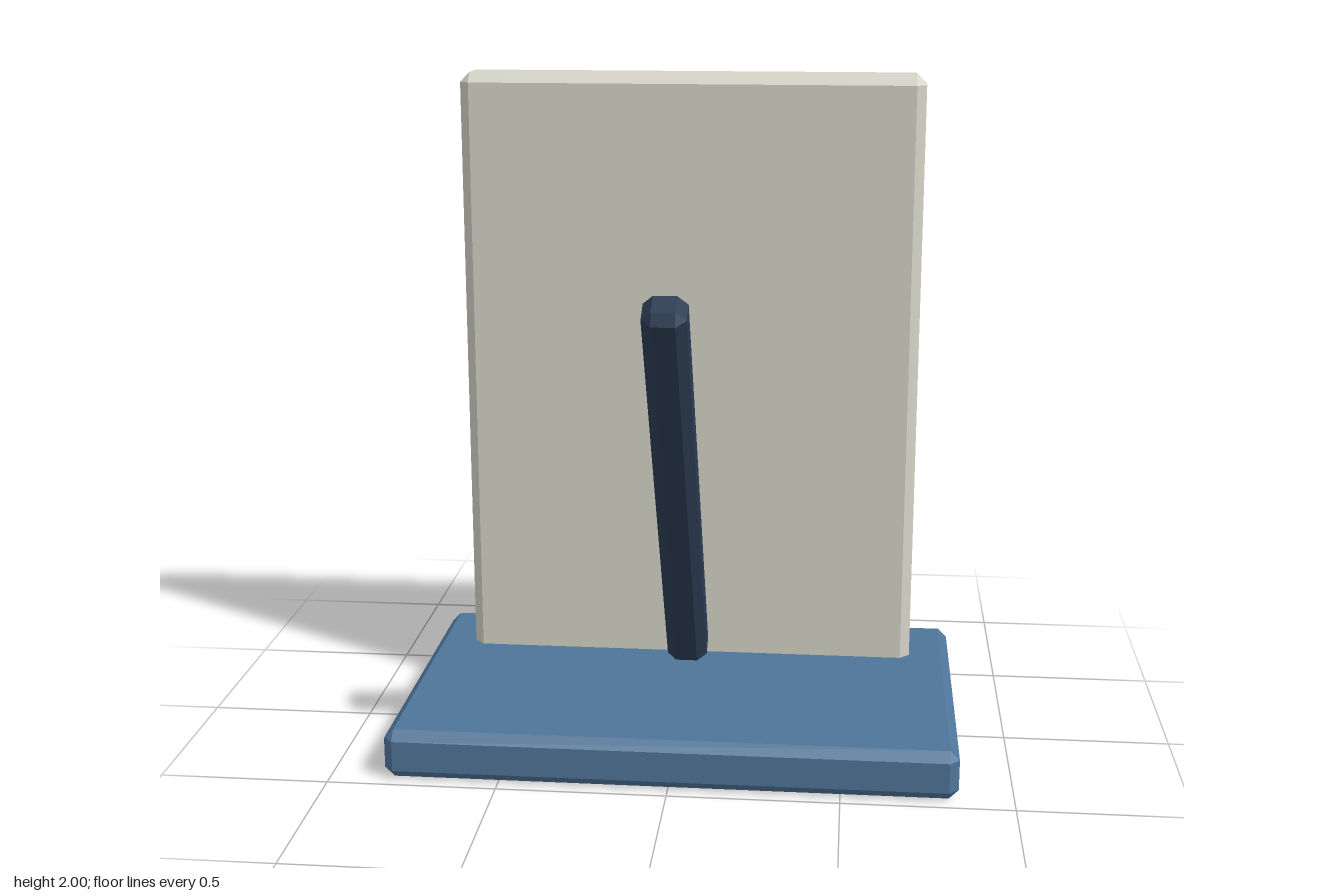
import * as THREE from 'three';
import { ConvexGeometry } from 'three/addons/geometries/ConvexGeometry.js';

const material = (color) => new THREE.MeshStandardMaterial({ color, flatShading: true });

// Box with every edge cut by a flat chamfer c
function chamferBox(w, h, d, c) {
  const half = [w / 2, h / 2, d / 2];
  const points = [];
  for (const sx of [-1, 1]) for (const sy of [-1, 1]) for (const sz of [-1, 1]) {
    for (let axis = 0; axis < 3; axis++) {
      const p = half.map((v, i) => (i === axis ? v : v - c));
      points.push(new THREE.Vector3(p[0] * sx, p[1] * sy, p[2] * sz));
    }
  }
  return new ConvexGeometry(points);
}

export function createModel() {
  const group = new THREE.Group();
  const blue = material(0x4f7599);
  const cream = material(0xd6d4c8);
  const navy = material(0x2d3d54);

  const add = (name, [w, h, d], [x, y, z], c, mat) => {
    const mesh = new THREE.Mesh(chamferBox(w, h, d, c), mat);
    mesh.name = name;
    mesh.position.set(x, y, z);
    group.add(mesh);
    return mesh;
  };

  // Base slab and the upright panel set into it
  add('base', [1.68, 0.148, 1.03], [0, 0.074, -0.047], 0.028, blue);
  add('panel', [1.42, 1.9, 0.156], [0, 1.05, -0.338], 0.03, cream);

  // Leaning strut in front of the panel
  const strut = add('strut', [0.125, 1.484, 0.125], [0, 0.807, 0.15], 0.029, navy);
  strut.rotation.x = Math.PI / 6;

  // Plate and two bars floating just behind the panel
  add('backPlate', [1.06, 0.23, 0.074], [0, 1.52, -0.479], 0.014, blue);
  [0.977, 0.764].forEach((y, i) =>
    add(`backBar${i + 1}`, [0.85, 0.057, 0.071], [0, y, -0.483], 0.014, navy));

  return group;
}
